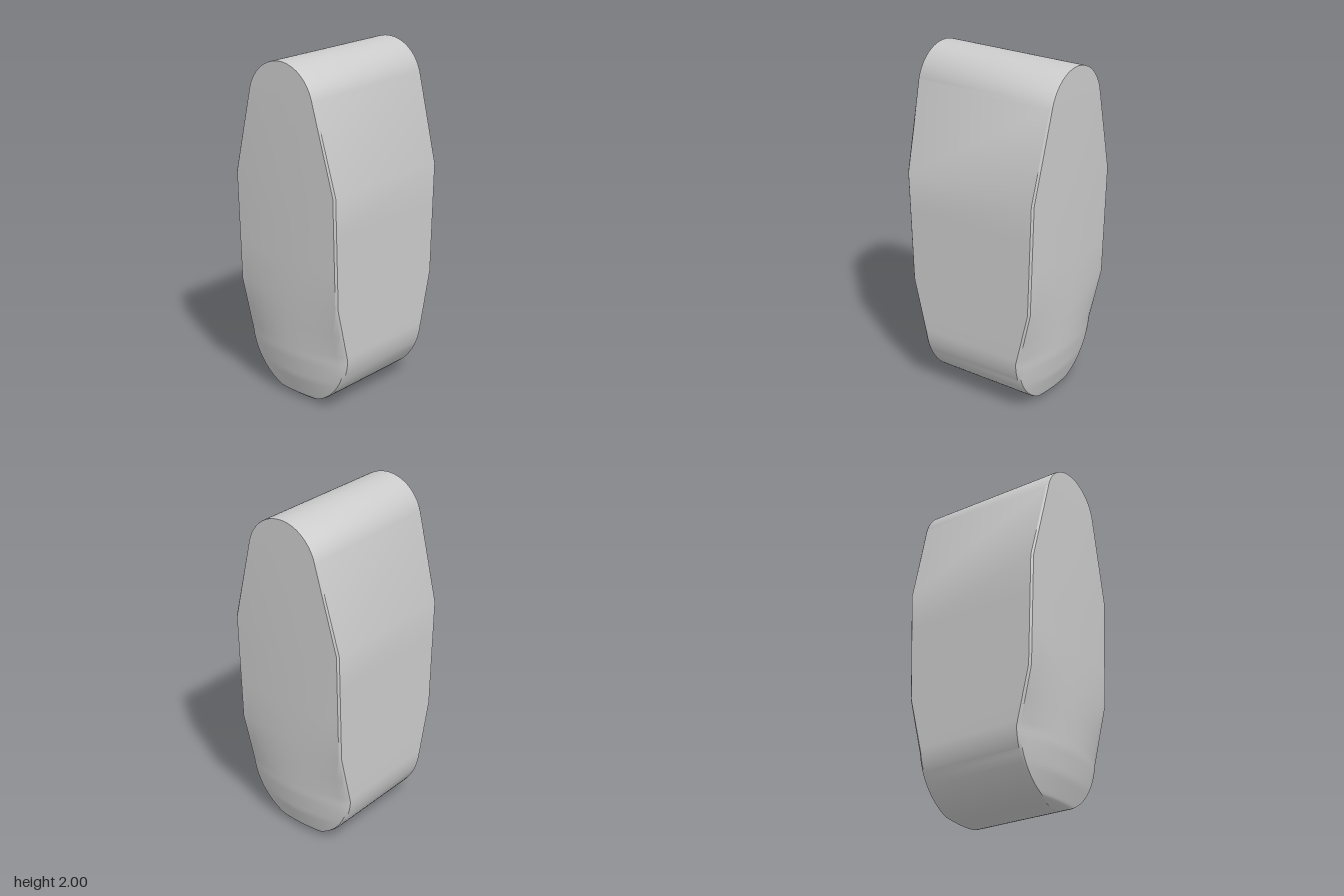
import * as THREE from 'three';
import { toCreasedNormals } from 'three/addons/utils/BufferGeometryUtils.js';

// Linear lookup in [height, value] pairs
function sample(pairs, y) {
  for (let i = 1; i < pairs.length; i++) {
    const [y0, v0] = pairs[i - 1], [y1, v1] = pairs[i];
    if (y <= y1) return v0 + (v1 - v0) * (y - y0) / (y1 - y0);
  }
  return pairs[pairs.length - 1][1];
}

// Half-width at the front/back rim, and along the middle of the bulging sides
const RIM = [[0, 0.29], [0.03, 0.32], [0.34, 0.33], [0.67, 0.41], [1.32, 0.43], [1.82, 0.447], [2, 0.447]];
const CORE = [[0, 0.29], [0.03, 0.33], [0.16, 0.375], [0.3, 0.4], [0.67, 0.425], [1.32, 0.442], [1.82, 0.447], [2, 0.447]];

// Side outline as [half-depth, height]: round foot, straight body, tapered round top
function outline() {
  const rows = [];
  const foot = 24, top = 20, topStart = 0.26;
  for (let i = 0; i <= foot; i++) {
    const a = (i / foot) * Math.PI / 2;
    rows.push([0.37 * Math.sin(a), 0.37 - 0.37 * Math.cos(a)]);
  }
  for (const y of [0.5, 0.67, 0.9, 1.1, 1.32]) rows.push([0.37, y]);
  for (let i = 0; i <= top; i++) {
    const a = topStart + (i / top) * (Math.PI / 2 - topStart);
    rows.push([0.243 * Math.cos(a), 1.757 + 0.243 * Math.sin(a)]);
  }
  return rows;
}

function bodyGeometry() {
  const steps = [1, 0.97, 0.85, 0.7, 0.5, 0.25, 0, -0.25, -0.5, -0.7, -0.85, -0.97, -1];
  const pos = [], index = [];
  const rows = outline();
  const n = steps.length * 2;

  // One closed horizontal section per row, with softened corners
  for (const [depth, y] of rows) {
    const rim = sample(RIM, y), core = sample(CORE, y);
    for (const side of [1, -1]) {
      for (const s of steps) {
        const bevel = Math.abs(s) === 1 ? 0.01 : 0;
        const x = rim + (core - rim) * (1 - s * s) - bevel;
        pos.push(side * x, y, side * s * depth);
      }
    }
  }
  for (let i = 0; i < rows.length - 1; i++) {
    for (let j = 0; j < n; j++) {
      const k = (j + 1) % n;
      const a = i * n + j, b = i * n + k, c = a + n, d = b + n;
      index.push(a, b, d, a, d, c);
    }
  }
  const geo = new THREE.BufferGeometry();
  geo.setAttribute('position', new THREE.Float32BufferAttribute(pos, 3));
  geo.setIndex(index);
  return toCreasedNormals(geo, 0.6);
}

export function createModel() {
  const model = new THREE.Group();
  model.name = 'roundedBlock';
  const body = new THREE.Mesh(bodyGeometry(), new THREE.MeshStandardMaterial({ color: 0xcccccc }));
  body.name = 'body';
  model.add(body);
  return model;
}
